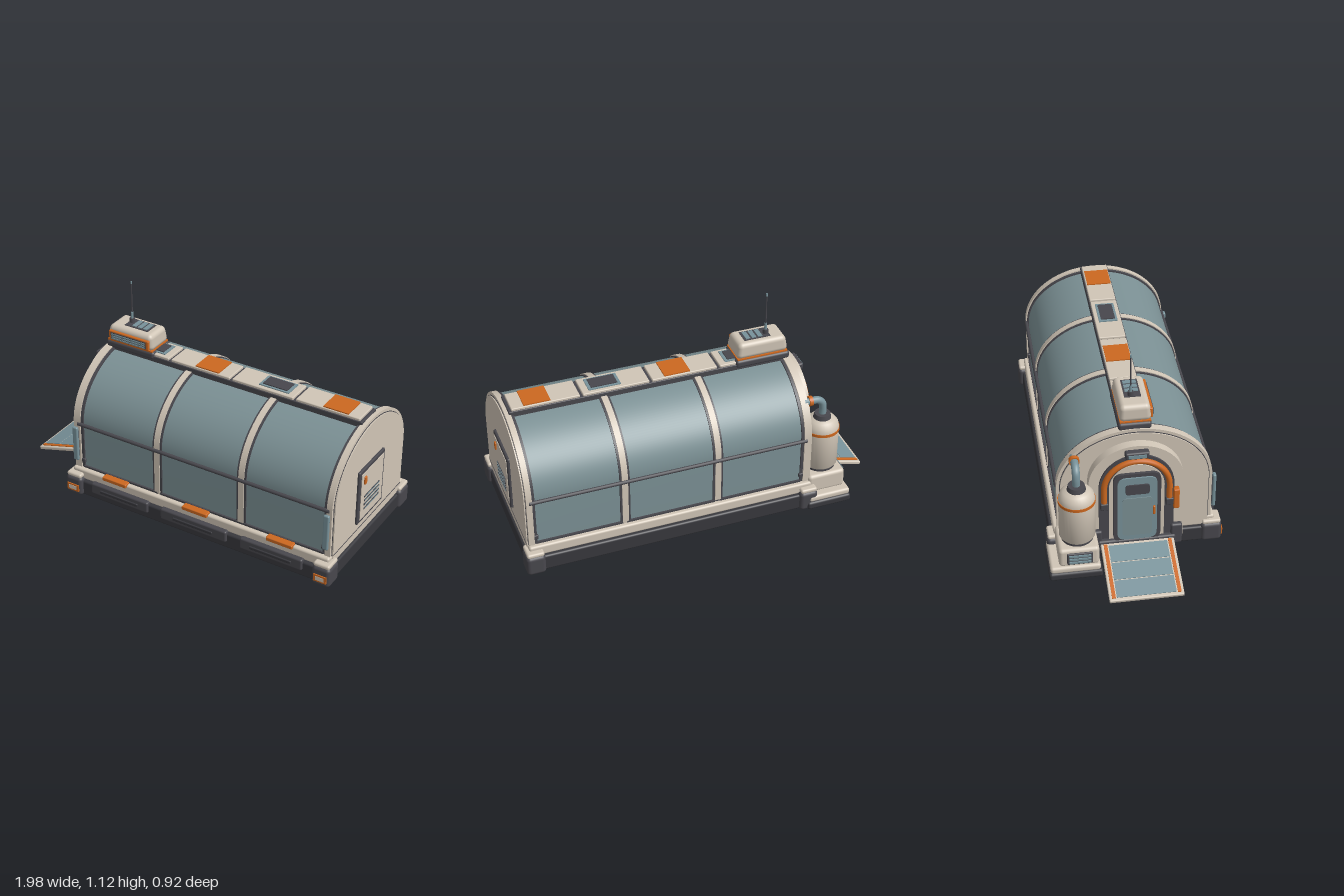
import * as THREE from 'three';
import { toCreasedNormals } from 'three/addons/utils/BufferGeometryUtils.js';
import { RoundedBoxGeometry } from 'three/addons/geometries/RoundedBoxGeometry.js';

const mat = (name, color) => Object.assign(new THREE.MeshStandardMaterial({ color }), { name });
const cream = mat('cream shell', 0xd0c5b6);
const dark = mat('dark trim', 0x48474d);
const black = mat('black base', 0x38383d);
const glass = mat('blue grey panel', 0x7b9094);
const steel = mat('steel blue', 0x78929a);
const orange = mat('orange accent', 0xcc6820);

export function createModel() {
  const model = new THREE.Group();
  model.name = 'habitatModule';

  const add = (name, geo, m, parent = model) => {
    const mesh = new THREE.Mesh(geo, m);
    mesh.name = name;
    parent.add(mesh);
    return mesh;
  };
  // Box given by its limits on each axis; r rounds the edges
  const box = (name, m, x0, x1, y0, y1, z0, z1, r = 0, parent = model) => {
    const s = [x1 - x0, y1 - y0, z1 - z0];
    const geo = r ? new RoundedBoxGeometry(...s, 3, Math.min(r, Math.min(...s) * 0.49)) : new THREE.BoxGeometry(...s);
    geo.translate((x0 + x1) / 2, (y0 + y1) / 2, (z0 + z1) / 2);
    return add(name, geo, m, parent);
  };
  const cyl = (name, m, r0, r1, y0, y1, x, z, n = 24) => {
    const geo = new THREE.CylinderGeometry(r1, r0, y1 - y0, n);
    geo.translate(x, (y0 + y1) / 2, z);
    return add(name, geo, m);
  };
  // Extrude a shape drawn in z/y along x
  const alongX = (shape, x0, x1) => {
    const geo = new THREE.ExtrudeGeometry(shape, { depth: x1 - x0, bevelEnabled: false, curveSegments: 40 });
    geo.rotateY(Math.PI / 2).translate(x0, 0, 0);
    return toCreasedNormals(geo, 0.5);
  };
  const archShape = (w, top, y0, spring) => {
    const s = new THREE.Shape();
    s.moveTo(-w, y0);
    s.lineTo(w, y0);
    s.lineTo(w, spring);
    s.absellipse(0, spring, w, top - spring, 0, Math.PI, false);
    s.lineTo(-w, y0);
    return s;
  };
  const arch = (name, m, w, top, x0, x1, y0 = 0.12, spring = 0.43) =>
    add(name, alongX(archShape(w, top, y0, spring), x0, x1), m);
  const roundRect = (w, y0, y1, r) => {
    const s = new THREE.Shape();
    s.moveTo(-w + r, y0);
    s.lineTo(w - r, y0); s.quadraticCurveTo(w, y0, w, y0 + r);
    s.lineTo(w, y1 - r); s.quadraticCurveTo(w, y1, w - r, y1);
    s.lineTo(-w + r, y1); s.quadraticCurveTo(-w, y1, -w, y1 - r);
    s.lineTo(-w, y0 + r); s.quadraticCurveTo(-w, y0, -w + r, y0);
    return s;
  };

  // Base, sill and corner bumpers
  box('baseSlab', black, -0.6, 0.975, 0.01, 0.1, -0.43, 0.43, 0.012);
  box('sill', cream, -0.585, 0.965, 0.1, 0.16, -0.415, 0.415, 0.012);
  for (const [x0, x1] of [[-0.61, -0.51], [0.89, 0.99]]) for (const s of [-1, 1]) {
    const z0 = s > 0 ? 0.345 : -0.452, z1 = s > 0 ? 0.452 : -0.345;
    box('cornerBumper', dark, x0, x1, 0.008, 0.12, z0, z1, 0.02);
    box('bumperCap', cream, x0 + 0.005, x1 - 0.005, 0.115, 0.14, z0 + 0.005, z1 - 0.005, 0.011);
  }
  for (const x of [-0.56, 0.94]) {
    box('cornerLightFrame', orange, x - 0.036, x + 0.036, 0.037, 0.077, 0.45, 0.458);
    box('cornerLight', cream, x - 0.024, x + 0.024, 0.046, 0.068, 0.456, 0.46);
  }
  // Front locker panels and orange tabs
  [[-0.27, 0.18], [0.19, 0.2], [0.65, 0.18]].forEach(([x, w], i) => {
    box('lockerPanel', dark, x - w, x + w, 0.05, 0.115, 0.41, 0.443, 0.01);
    box('lockerSlot', black, x - 0.12, x + 0.12, 0.073, 0.09, 0.44, 0.45, 0.004);
    const t = -0.31 + i * 0.5;
    box('sillTab', orange, t - 0.075, t + 0.075, 0.148, 0.17, 0.39, 0.43, 0.005);
  });

  // Vaulted hull with ribs and end caps
  arch('hullPanels', glass, 0.38, 0.742, -0.56, 0.95);
  for (const x of [-0.06, 0.445]) {
    arch('ribTrim', dark, 0.386, 0.748, x - 0.027, x + 0.027);
    arch('rib', cream, 0.391, 0.753, x - 0.016, x + 0.016);
  }
  arch('endTrim', dark, 0.388, 0.75, -0.545, -0.525);
  arch('endTrim', dark, 0.388, 0.75, 0.915, 0.935);
  arch('rearCapRim', cream, 0.395, 0.757, 0.93, 0.96);
  arch('rearCapSeam', dark, 0.38, 0.741, 0.955, 0.962);
  arch('rearCap', cream, 0.376, 0.737, 0.955, 0.968);
  arch('doorCapRim', cream, 0.395, 0.757, -0.58, -0.54);
  arch('doorCapSeam', dark, 0.38, 0.741, -0.582, -0.57);
  arch('doorCap', cream, 0.376, 0.737, -0.588, -0.57);
  box('capSeam', dark, 0.96, 0.9695, 0.158, 0.162, -0.376, 0.376);

  // Side rails and lower trim
  for (const s of [-1, 1]) {
    const rail = new THREE.CylinderGeometry(0.01, 0.01, 1.5, 12);
    rail.rotateZ(Math.PI / 2).translate(0.195, 0.428, s * 0.393);
    add('sideRail', rail, dark);
    box('lowerTrim', dark, -0.53, 0.92, 0.157, 0.17, s * 0.385 - 0.006, s * 0.385 + 0.006);
    for (const x of [-0.53, 0.92]) box('railEnd', dark, x - 0.012, x + 0.012, 0.19, 0.215, s * 0.386 - 0.008, s * 0.386 + 0.008, 0.005);
  }
  for (const x of [-0.56, 0.94]) {
    box('grabHandleMount', dark, x - 0.01, x + 0.01, 0.23, 0.4, 0.39, 0.404);
    box('grabHandle', steel, x - 0.016, x + 0.016, 0.21, 0.415, 0.401, 0.42, 0.008);
  }

  // Roof walkway
  box('walkwayTrim', dark, -0.55, 0.94, 0.72, 0.766, -0.075, 0.078, 0.004);
  [-0.55, -0.172, 0.198, 0.568].forEach((x, i) => {
    box('walkwaySegment', cream, x, [-0.188, 0.182, 0.552, 0.925][i], 0.74, 0.779, -0.069, 0.073, 0.005);
  });
  for (const x of [0.045, 0.79]) box('walkwayPad', orange, x - 0.07, x + 0.07, 0.775, 0.785, -0.062, 0.068);
  for (const x of [-0.31, 0.43]) {
    box('roofHatchFrame', steel, x - 0.086, x + 0.086, 0.775, 0.784, -0.048, 0.052);
    box('roofHatch', dark, x - 0.07, x + 0.07, 0.78, 0.789, -0.036, 0.04);
  }

  // Roof equipment box with tapered top, grille and antenna
  box('equipmentBase', dark, -0.575, -0.275, 0.745, 0.788, -0.082, 0.085, 0.015);
  box('equipmentStripe', orange, -0.565, -0.285, 0.786, 0.794, -0.073, 0.082);
  const housing = new RoundedBoxGeometry(0.29, 0.088, 0.164, 4, 0.025);
  const hp = housing.attributes.position;
  for (let i = 0; i < hp.count; i++) {
    const k = 1 - 0.1 * (hp.getY(i) / 0.088 + 0.5);
    hp.setX(i, hp.getX(i) * k);
    hp.setZ(i, hp.getZ(i) * k);
  }
  housing.translate(-0.425, 0.835, 0.005);
  add('equipmentHousing', housing, cream);
  box('grilleFrame', orange, -0.55, -0.3, 0.797, 0.853, 0.07, 0.094, 0.006);
  box('grille', dark, -0.535, -0.315, 0.806, 0.845, 0.09, 0.097);
  for (let i = 0; i < 3; i++) box('grilleSlat', steel, -0.53, -0.32, 0.809 + i * 0.012, 0.816 + i * 0.012, 0.095, 0.101);
  box('topVent', dark, -0.48, -0.335, 0.875, 0.882, -0.038, 0.045);
  for (let i = 0; i < 3; i++) box('topVentSlat', steel, -0.438 + i * 0.034, -0.414 + i * 0.034, 0.88, 0.886, -0.03, 0.037);
  cyl('antennaBase', dark, 0.016, 0.014, 0.875, 0.905, -0.465, -0.005, 16);
  cyl('antennaSocket', steel, 0.008, 0.007, 0.9, 0.94, -0.465, -0.005, 12);
  cyl('antennaMast', dark, 0.0045, 0.003, 0.93, 1.11, -0.465, -0.005, 8);
  cyl('antennaTip', steel, 0.005, 0.005, 1.105, 1.12, -0.465, -0.005, 8);

  // Service hatch on the end wall
  box('serviceHatchFrame', dark, 0.96, 0.981, 0.205, 0.52, -0.13, 0.148, 0.008);
  box('serviceHatch', cream, 0.975, 0.984, 0.225, 0.5, -0.11, 0.128);
  box('hatchLatch', orange, 0.98, 0.992, 0.432, 0.476, 0.083, 0.105, 0.004);
  for (const y of [0.279, 0.304, 0.328, 0.352]) {
    box('hatchLouver', dark, 0.98, 0.987, y - 0.005, y + 0.005, -0.072, 0.093);
    box('hatchLouverFace', steel, 0.985, 0.989, y - 0.002, y + 0.002, -0.068, 0.089);
  }

  // Door surround
  arch('porch', cream, 0.24, 0.695, -0.635, -0.57, 0.1, 0.47);
  arch('porchInset', dark, 0.19, 0.645, -0.645, -0.62, 0.1, 0.45);
  arch('porchFace', cream, 0.14, 0.59, -0.65, -0.63, 0.1, 0.45);
  const hoop = new THREE.CurvePath();
  const hoopPts = [];
  for (let i = 0; i <= 20; i++) {
    const a = (i / 20) * Math.PI;
    hoopPts.push(new THREE.Vector3(-0.652, 0.45 + 0.165 * Math.sin(a), 0.165 * Math.cos(a)));
  }
  hoopPts.unshift(new THREE.Vector3(-0.652, 0.36, 0.165));
  hoopPts.push(new THREE.Vector3(-0.652, 0.36, -0.165));
  add('doorHoop', new THREE.TubeGeometry(new THREE.CatmullRomCurve3(hoopPts), 60, 0.015, 10), orange);
  for (const s of [-1, 1]) box('hoopSocket', dark, -0.67, -0.635, 0.33, 0.37, s * 0.165 - 0.02, s * 0.165 + 0.02, 0.006);
  box('doorLamp', dark, -0.668, -0.62, 0.635, 0.675, -0.06, 0.06, 0.01);
  box('doorLampLens', steel, -0.672, -0.664, 0.645, 0.664, -0.045, 0.045);
  box('jambPanel', orange, -0.668, -0.63, 0.3, 0.42, 0.185, 0.215, 0.006);

  // Door
  add('doorFrame', alongX(roundRect(0.12, 0.11, 0.545, 0.05), -0.665, -0.63), dark);
  add('door', alongX(roundRect(0.1, 0.13, 0.525, 0.045), -0.673, -0.65), steel);
  add('doorInset', alongX(roundRect(0.075, 0.16, 0.4, 0.02), -0.677, -0.66), glass);
  add('doorWindow', alongX(roundRect(0.06, 0.425, 0.485, 0.015), -0.679, -0.67), dark);
  box('doorHandle', orange, -0.684, -0.67, 0.29, 0.34, 0.078, 0.09, 0.004);
  box('doorStep', dark, -0.67, -0.57, 0.06, 0.125, -0.2, 0.2, 0.012);
  for (const s of [-1, 1]) box('stepPost', dark, -0.66, -0.58, 0.06, 0.185, s * 0.205 - 0.03, s * 0.205 + 0.03, 0.012);

  // Ramp
  const ramp = new THREE.Group();
  ramp.name = 'ramp';
  ramp.position.set(-0.665, 0.112, 0.002);
  ramp.rotation.z = 0.275;
  model.add(ramp);
  box('rampDeck', cream, -0.34, 0, -0.02, 0, -0.188, 0.188, 0.006, ramp);
  for (const s of [-1, 1]) box('rampEdge', orange, -0.325, -0.01, -0.004, 0.004, s * 0.165 - 0.009, s * 0.165 + 0.009, 0, ramp);
  for (let i = 0; i < 3; i++) box('rampTread', steel, -0.322 + i * 0.103, -0.225 + i * 0.103, -0.004, 0.003, -0.15, 0.15, 0, ramp);

  // Gas tank on its plinth
  const tx = -0.675, tz = -0.305;
  box('tankFoot', black, -0.8, -0.55, 0.01, 0.056, -0.462, -0.19, 0.015);
  box('tankPlinthLower', cream, -0.795, -0.56, 0.052, 0.09, -0.455, -0.2, 0.015);
  box('tankPlinth', cream, -0.78, -0.57, 0.08, 0.19, -0.41, -0.205, 0.02);
  box('plinthVent', dark, -0.788, -0.77, 0.1, 0.17, -0.37, -0.24, 0.006);
  for (let i = 0; i < 3; i++) box('plinthVentSlat', steel, -0.794, -0.785, 0.11 + i * 0.02, 0.121 + i * 0.02, -0.36, -0.25);
  cyl('tankCollar', dark, 0.082, 0.082, 0.185, 0.205, tx, tz, 32);
  const profile = [[0, 0.2], [0.08, 0.2], [0.092, 0.215], [0.092, 0.44], [0.086, 0.465], [0.068, 0.486], [0.04, 0.498], [0, 0.5]];
  const tank = toCreasedNormals(new THREE.LatheGeometry(profile.map(p => new THREE.Vector2(...p)), 32), 0.7);
  tank.translate(tx, 0, tz);
  add('tank', tank, cream);
  cyl('tankBand', orange, 0.095, 0.095, 0.422, 0.438, tx, tz, 32);
  cyl('tankCap', dark, 0.05, 0.042, 0.485, 0.52, tx, tz);
  const pipe = new THREE.CatmullRomCurve3([[0, 0.51], [0, 0.56], [0.008, 0.59], [0.03, 0.608], [0.06, 0.612], [0.11, 0.612]]
    .map(([x, y]) => new THREE.Vector3(tx + x, y, tz)));
  add('tankPipe', new THREE.TubeGeometry(pipe, 32, 0.02, 14), steel);
  const ring = new THREE.CylinderGeometry(0.027, 0.027, 0.02, 20);
  ring.rotateZ(Math.PI / 2).translate(-0.6, 0.612, tz);
  add('pipeRing', ring, orange);

  return model;
}
